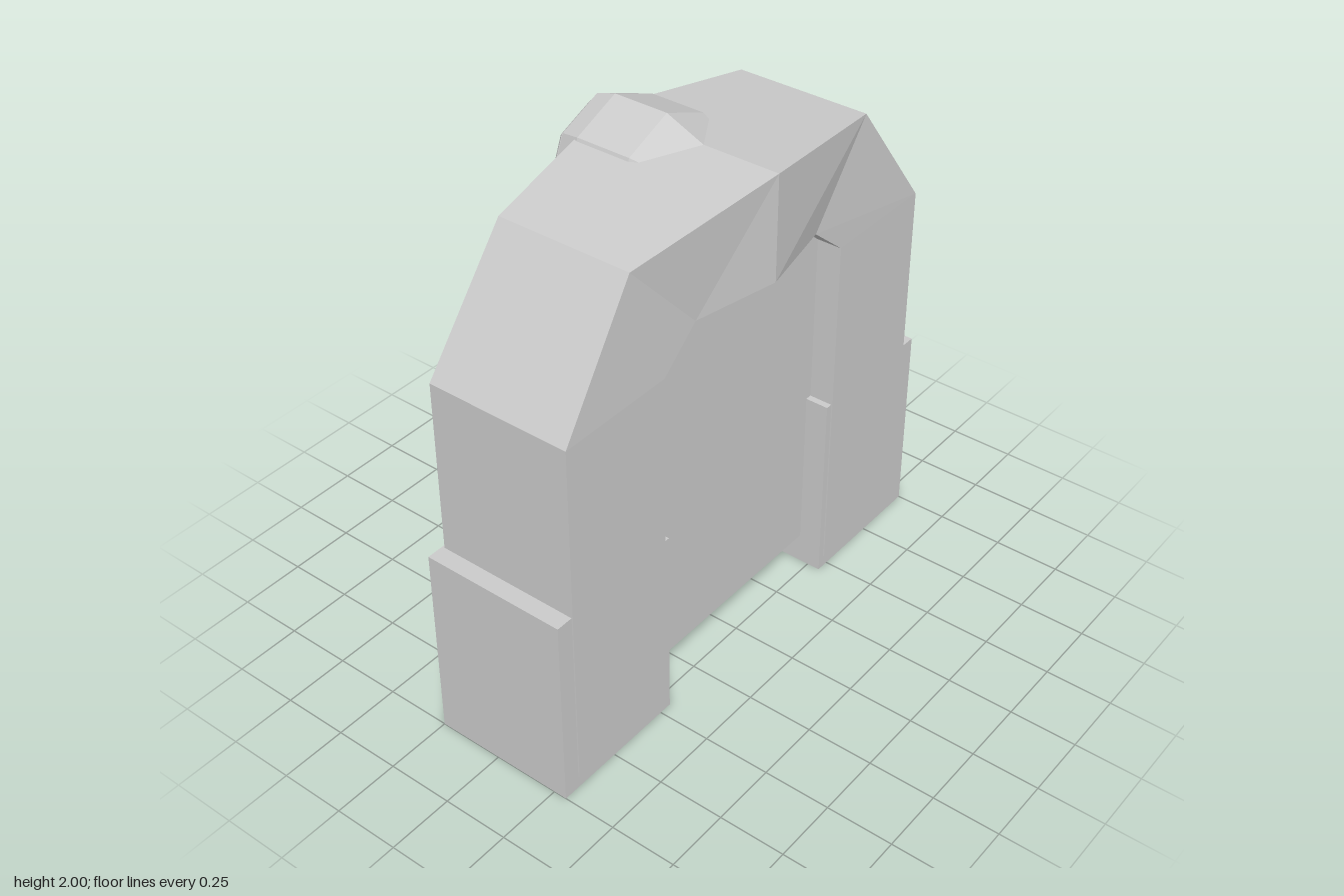
import * as THREE from 'three';

const material = new THREE.MeshStandardMaterial({ color: 0xcccccc, flatShading: true });

function part(name, geometry, x = 0, y = 0, z = 0) {
  const flat = geometry.index ? geometry.toNonIndexed() : geometry;
  flat.computeVertexNormals();
  const mesh = new THREE.Mesh(flat, material);
  mesh.name = name;
  mesh.position.set(x, y, z);
  return mesh;
}

// Four-cornered cross-sections swept from the front foot over to the back foot
function archGeometry() {
  // [outer z, outer y, outer half width, inner z, inner y, inner half width]
  const half = [
    [0.935, 0.05, 0.273, 0.475, 0.05, 0.273],
    [0.935, 1.41, 0.273, 0.475, 1.41, 0.273],
    [0.61, 1.855, 0.255, 0.32, 1.54, 0.272],
  ];
  const crown = [0, 1.937, 0.342, 0, 1.545, 0.342];
  const back = half.map(([oz, oy, ow, iz, iy, iw]) => [-oz, oy, ow, -iz, iy, iw]).reverse();
  const stations = [...half, crown, ...back];
  const cx = 0.0325;
  const positions = [];
  for (const [oz, oy, ow, iz, iy, iw] of stations) {
    positions.push(cx + ow, oy, oz, cx - ow, oy, oz, cx - iw, iy, iz, cx + iw, iy, iz);
  }
  const index = [];
  const quad = (a, b, c, d) => index.push(a, b, c, a, c, d);
  for (let i = 0; i < stations.length - 1; i++) {
    const a = i * 4, b = a + 4;
    for (let k = 0; k < 4; k++) {
      const n = (k + 1) % 4;
      quad(a + k, b + k, b + n, a + n);
    }
  }
  const e = (stations.length - 1) * 4;
  quad(0, 1, 2, 3);
  quad(e + 3, e + 2, e + 1, e);
  const geometry = new THREE.BufferGeometry();
  geometry.setAttribute('position', new THREE.Float32BufferAttribute(positions, 3));
  geometry.setIndex(index);
  return geometry;
}

// Slab filling the doorway, with a slim centre ridge on the knob side
function panelGeometry() {
  const outline = [
    [0.21, -0.48], [0.21, 0.48], [-0.16, 0.48], [-0.16, 0.08],
    [-0.19, 0.04], [-0.19, -0.04], [-0.16, -0.08], [-0.16, -0.48],
  ].map(([x, z]) => new THREE.Vector2(x, z));
  const geometry = new THREE.ExtrudeGeometry(new THREE.Shape(outline), { depth: 1.46, bevelEnabled: false });
  return geometry.rotateX(-Math.PI / 2);
}

// Octagonal boss lying along x: rimmed face, collar, body and tapered tail
function knobGeometry() {
  const profile = [
    [0, -0.37], [0.165, -0.37], [0.18, -0.38], [0.2, -0.38], [0.21, -0.37], [0.212, -0.345],
    [0.242, -0.345], [0.265, -0.27], [0.265, -0.06], [0.2, 0.09], [0, 0.09],
  ].map(([r, x]) => new THREE.Vector2(r, x));
  return new THREE.LatheGeometry(profile, 8).rotateZ(-Math.PI / 2);
}

export function createModel() {
  const model = new THREE.Group();
  model.name = 'archway';
  model.add(part('arch', archGeometry()));
  model.add(part('doorPanel', panelGeometry(), 0, 0.12, 0));
  model.add(part('knob', knobGeometry(), 0, 1.735, 0));

  // Foot blocks around both legs
  for (const side of [1, -1]) {
    const name = side > 0 ? 'frontFoot' : 'backFoot';
    model.add(part(name, new THREE.BoxGeometry(0.55, 0.755, 0.55), 0.025, 0.3775, side * 0.725));
  }
  return model;
}
